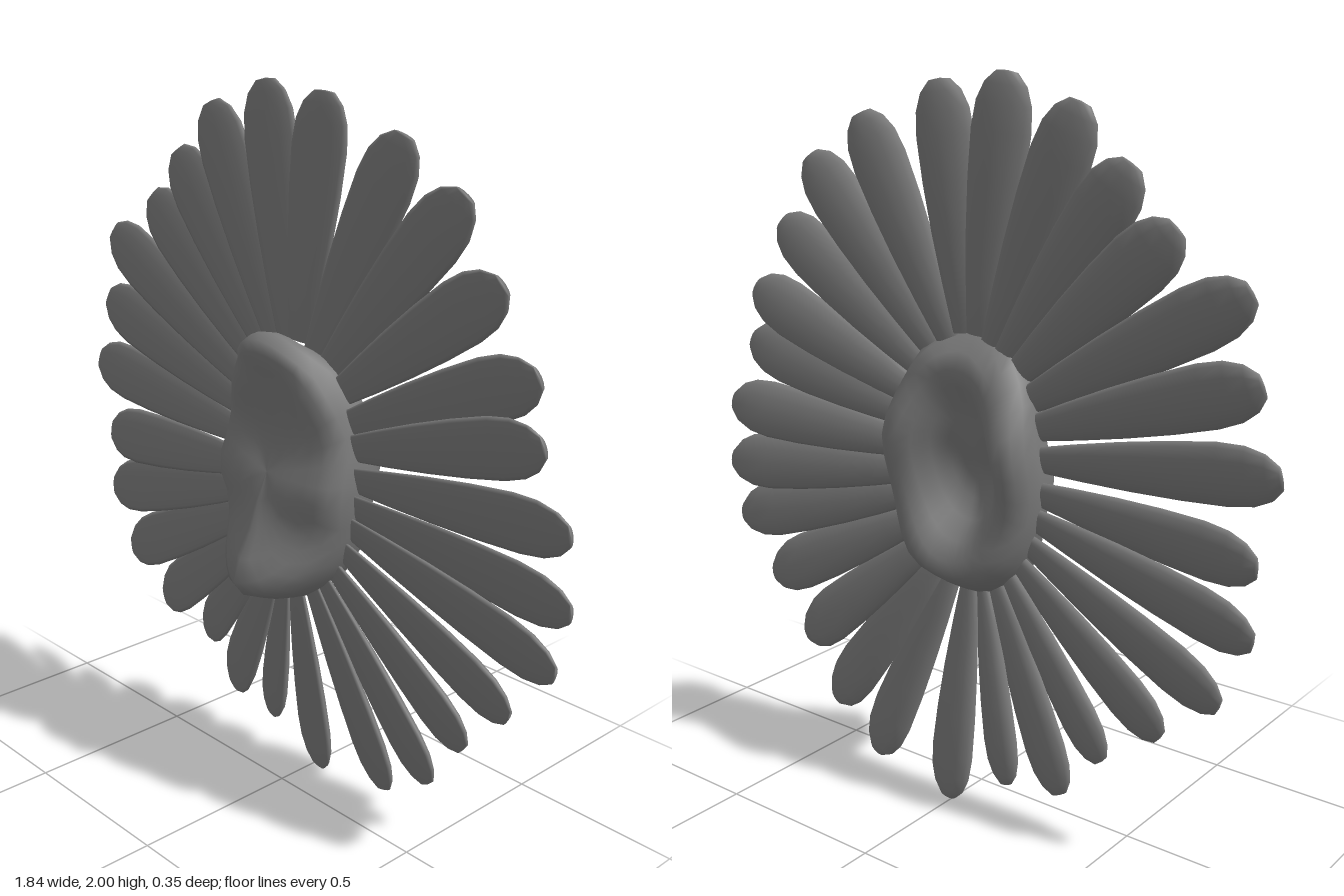
import * as THREE from 'three';

const material = new THREE.MeshStandardMaterial({ color: 0x7a7a7a, side: THREE.DoubleSide });

// Skin a list of closed rings, each an array of [x, y, z]
function loft(rings) {
  const n = rings[0].length, index = [];
  for (let i = 0; i < rings.length - 1; i++) {
    for (let j = 0; j < n; j++) {
      const k = (j + 1) % n;
      const a = i * n + j, b = i * n + k, c = a + n, d = b + n;
      index.push(a, b, c, b, d, c);
    }
  }
  const geometry = new THREE.BufferGeometry();
  geometry.setAttribute('position', new THREE.Float32BufferAttribute(rings.flat(2), 3));
  geometry.setIndex(index);
  geometry.computeVertexNormals();
  return geometry;
}

// Smooth interpolation through [position, value] keys
function curve(keys, y) {
  if (y <= keys[0][0]) return keys[0][1];
  for (let i = 1; i < keys.length; i++) {
    const [y0, v0] = keys[i - 1], [y1, v1] = keys[i];
    if (y <= y1) return THREE.MathUtils.lerp(v0, v1, THREE.MathUtils.smoothstep(y, y0, y1));
  }
  return keys[keys.length - 1][1];
}

// Flower centre: a dented oval cushion with a pointed chin, hollow at the back
const frontKeys = [[0.6, 0.11], [0.67, 0.19], [0.9, 0.12], [1.09, 0.06], [1.25, 0.08], [1.34, 0.11]];
const backKeys = [[0.6, -0.1], [0.7, -0.165], [0.85, -0.14], [1.05, -0.175], [1.25, -0.12], [1.36, -0.02]];
const chinKeys = [[0.6, 0.5], [0.75, 0.4], [1, 0]];
// [radius, blend from back (0) to front (1)]
const cushion = [
  [0, 1], [0.2, 1], [0.4, 1], [0.6, 1], [0.76, 1], [0.88, 0.96], [0.96, 0.82], [1, 0.5],
  [0.98, 0.26], [0.91, 0.08], [0.8, 0], [0.68, 0.02], [0.56, 0.15], [0.44, 0.36], [0.3, 0.52], [0.15, 0.58], [0, 0.6],
];

function centreGeometry() {
  const sides = 36;
  return loft(cushion.map(([r, k]) => Array.from({ length: sides }, (_, j) => {
    const a = -j / sides * Math.PI * 2;
    const x = 0.247 * r * Math.cos(a), y = 0.98 + 0.385 * r * Math.sin(a);
    const front = curve(frontKeys, y) - x * x - curve(chinKeys, y) * Math.abs(x) - 0.04 * (1 - r);
    return [x, y, THREE.MathUtils.lerp(curve(backKeys, y), front, k)];
  })));
}

// Petal outline: [distance along, half width, thickness factor]
const outline = [
  [0, 0, 0], [0, 0.034, 0.5], [0.2, 0.052, 0.7], [0.4, 0.067, 0.9], [0.6, 0.078, 1],
  [0.78, 0.083, 1], [0.88, 0.077, 0.9], [0.95, 0.059, 0.7], [0.995, 0.03, 0.45], [1, 0, 0],
];

// Petal: flat in front, rounded behind, its clockwise edge tilted back
function petalGeometry(tx, ty, tz, widthScale = 1) {
  const angle = Math.atan2(ty - 1, tx), sides = 12;
  const root = new THREE.Vector3(0.21 * Math.cos(angle), 0.98 + 0.35 * Math.sin(angle), -0.045);
  const tip = new THREE.Vector3(tx, ty, tz);
  const dir = tip.clone().sub(root).setZ(0).normalize();
  return loft(outline.map(([t, w, d]) => {
    const c = root.clone().lerp(tip, t);
    return Array.from({ length: sides }, (_, j) => {
      const a = -j / sides * Math.PI * 2;
      const s = w * widthScale * Math.cos(a), h = Math.sin(a);
      const z = d * h * (h > 0 ? 0.012 : 0.032) - 0.2 * s;
      return [c.x + dir.y * s, c.y - dir.x * s, c.z + z];
    });
  }));
}

// Petal tips clockwise from the top: [x, y, z, optional width]
const tips = [
  [-0.12, 2, -0.05], [0.09, 1.98, -0.06], [0.35, 1.89, -0.075], [0.55, 1.77, -0.07],
  [0.68, 1.58, -0.06], [0.79, 1.38, -0.07], [0.82, 1.22, -0.065], [0.9, 1.02, -0.08],
  [0.92, 0.83, -0.075], [0.89, 0.66, -0.07], [0.76, 0.49, -0.07], [0.61, 0.33, -0.085],
  [0.48, 0.16, -0.1], [0.3, 0.05, -0.12], [0.02, 0, -0.13], [-0.18, 0.1, -0.12, 0.8],
  [-0.36, 0.13, -0.12], [-0.49, 0.27, -0.12, 0.9], [-0.63, 0.36, -0.065], [-0.79, 0.49, -0.06],
  [-0.87, 0.68, -0.055], [-0.87, 0.87, -0.055], [-0.92, 1.1, -0.055], [-0.86, 1.31, -0.055],
  [-0.82, 1.52, -0.055], [-0.62, 1.65, -0.055], [-0.49, 1.79, -0.05], [-0.34, 1.93, -0.05],
];

export function createModel() {
  const group = new THREE.Group();
  group.name = 'flower';

  const centre = new THREE.Mesh(centreGeometry(), material);
  centre.name = 'flowerCentre';
  group.add(centre);

  const petals = new THREE.Group();
  petals.name = 'petals';
  tips.forEach((tip, i) => {
    const petal = new THREE.Mesh(petalGeometry(...tip), material);
    petal.name = `petal${i + 1}`;
    petals.add(petal);
  });
  group.add(petals);
  return group;
}
